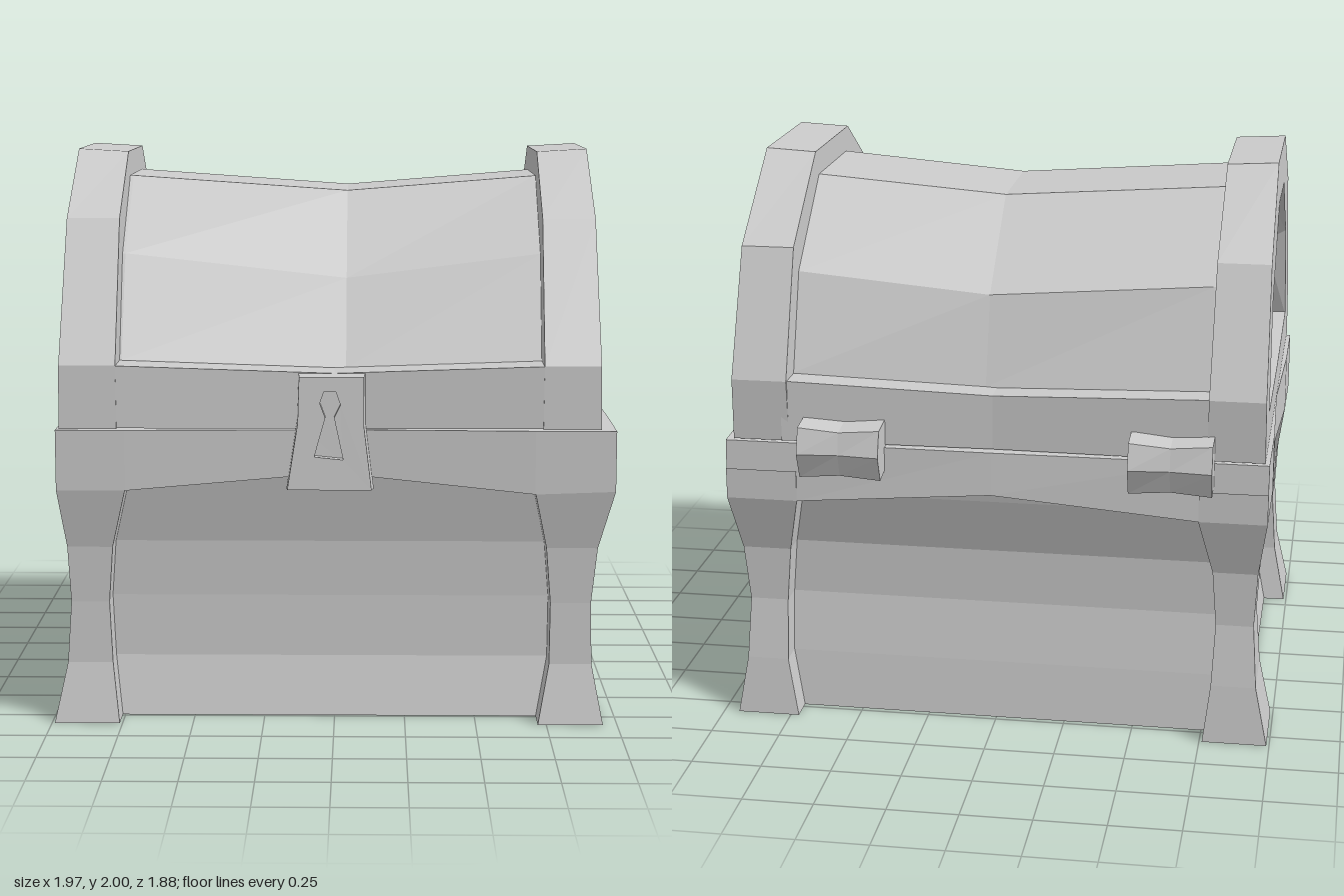
import * as THREE from 'three';

const material = new THREE.MeshStandardMaterial({ color: 0xcccccc, flatShading: true, side: THREE.DoubleSide });

// Skin a list of equally sized point rings; faces are turned outwards by signed volume.
function loft(rings, { caps = true, loop = false } = {}) {
  const tris = [];
  const n = rings[0].length;
  const spans = loop ? rings.length : rings.length - 1;
  for (let i = 0; i < spans; i++) {
    const a = rings[i], b = rings[(i + 1) % rings.length];
    for (let j = 0; j < n; j++) {
      const k = (j + 1) % n;
      tris.push([a[j], a[k], b[k]], [a[j], b[k], b[j]]);
    }
  }
  if (caps && !loop) {
    const first = rings[0], last = rings[rings.length - 1];
    for (let j = 1; j < n - 1; j++) {
      tris.push([first[0], first[j + 1], first[j]], [last[0], last[j], last[j + 1]]);
    }
  }
  const vec = (p) => new THREE.Vector3(...p);
  const volume = tris.reduce((s, [a, b, c]) => s + vec(a).dot(vec(b).cross(vec(c))), 0);
  if (volume < 0) tris.forEach((t) => t.reverse());
  const geometry = new THREE.BufferGeometry();
  geometry.setAttribute('position', new THREE.Float32BufferAttribute(tris.flat(2), 3));
  geometry.computeVertexNormals();
  return geometry;
}

// Section of [z, y] points placed at x.
const atX = (x, section) => section.map(([z, y]) => [x, y, z]);
const points = (list) => list.map(([a, b]) => new THREE.Vector2(a, b));

// Heights, then the outer / inner leg lines and panel inset of each side
const levels = [0, 0.21, 0.43, 0.63, 0.84, 0.95];
const right = { s: -1, inset: 0.08, out: [0.99, 0.945, 0.93, 0.94, 0.97, 0.97], inn: [0.76, 0.785, 0.795, 0.78, 0.73, 0.73] };
const left = { s: 1, inset: 0.08, out: [0.95, 0.91, 0.905, 0.925, 0.98, 0.98], inn: [0.72, 0.76, 0.762, 0.745, 0.7, 0.7] };
const front = { s: 1, inset: 0.11, out: [0.85, 0.805, 0.8, 0.81, 0.855, 0.855], inn: [0.56, 0.6, 0.6, 0.59, 0.52, 0.52] };
const back = { s: -1, inset: 0.095, out: [0.825, 0.8, 0.765, 0.77, 0.835, 0.835], inn: [0.53, 0.54, 0.57, 0.56, 0.48, 0.48] };
const leftBack = { ...left, out: [0.945, 0.91, 0.9, 0.92, 0.955, 0.955] };

// One leg corner of the base outline: panel edge, return, corner, return, panel edge
function corner(sx, sz, i) {
  const y = levels[i], lean = i === 5 ? 0.024 : 0;
  const X = sx.s * sx.out[i], Z = sz.s * sz.out[i];
  const xi = sx.s * sx.inn[i], zi = sz.s * sz.inn[i];
  const xt = X - sx.s * (sx.inset - lean), zt = Z - sz.s * (sz.inset - lean);
  const list = [[xi, y, zt], [xi, y, Z], [X, y, Z], [X, y, zi], [xt, y, zi]];
  return sx.s * sz.s > 0 ? list : list.reverse();
}
const baseRing = (i) => [...corner(right, front, i), ...corner(left, front, i), ...corner(leftBack, back, i), ...corner(right, back, i)];

export function createModel() {
  const chest = new THREE.Group();
  chest.name = 'chest';
  const base = new THREE.Group();
  base.name = 'base';
  const lid = new THREE.Group();
  lid.name = 'lid';
  chest.add(base, lid);
  const add = (parent, name, geometry) => {
    const mesh = new THREE.Mesh(geometry, material);
    mesh.name = name;
    parent.add(mesh);
  };

  // Base shell: hollow flared legs joined by recessed panels, with a raised floor
  add(base, 'legsAndPanels', loft(levels.map((y, i) => baseRing(i)), { caps: false }));
  const floorRing = [[right, front], [left, front], [left, back], [right, back]].map(([sx, sz]) => [
    sx.s * (sx.out[2] - sx.inset), 0.45, sz.s * (sz.out[2] - sz.inset),
  ]);
  add(base, 'floor', loft([floorRing, floorRing.map(() => [-0.2, 0.41, 0.04])], { caps: false }));

  // Base rim: stations [x, z, lower edge] around the box, arched between the legs
  const rimStations = [
    [-0.97, 0.855, 0.84], [-0.73, 0.855, 0.84], [0, 0.83, 0.9], [0.7, 0.855, 0.83],
    [0.98, 0.855, 0.84], [0.981, 0.52, 0.84], [0.965, -0.48, 0.89],
    [0.955, -0.835, 0.84], [0.7, -0.835, 0.84], [0, -0.84, 0.9], [-0.73, -0.835, 0.84],
    [-0.97, -0.835, 0.84], [-0.97, -0.48, 0.84], [-0.955, 0, 0.88], [-0.97, 0.52, 0.84],
  ];
  add(base, 'baseRim', loft(rimStations.map(([x, z, y]) => [
    [x, y, z], [x, 1.053, z < -0.8 ? z + 0.012 : z], [x * 0.84, 1.053, z * 0.82], [x * 0.84, y, z * 0.82],
  ]), { loop: true }));

  // Lid barrel, sagging in the middle
  const barrelEnd = [[0.71, 1.07], [0.71, 1.28], [0.53, 1.64], [0.2, 1.9], [-0.24, 1.9], [-0.59, 1.62], [-0.72, 1.28], [-0.72, 1.07]];
  const barrelMid = [[0.68, 1.07], [0.68, 1.25], [0.5, 1.55], [0.19, 1.845], [-0.235, 1.845], [-0.59, 1.56], [-0.69, 1.25], [-0.69, 1.07]];
  add(lid, 'barrel', loft([
    atX(-0.87, barrelEnd), atX(-0.75, barrelEnd), atX(0.04, barrelMid), atX(0.73, barrelEnd), atX(0.84, barrelEnd),
  ]));

  // End hoops around a recessed panel, with sloping recess walls
  const opening = [[0.64, 1.21], [0.49, 1.58], [0.17, 1.835], [-0.2, 1.84], [-0.52, 1.555], [-0.62, 1.18], [0, 1.18]];
  const recessFoot = [[0.625, 1.21], [0.47, 1.54], [0.165, 1.825], [-0.195, 1.83], [-0.5, 1.52], [-0.61, 1.18], [0, 1.18]];
  const hoop = new THREE.Shape(points([
    [0.867, 1.06], [0.86, 1.28], [0.6, 1.77], [0.24, 2], [-0.28, 2], [-0.65, 1.72], [-0.83, 1.28], [-0.82, 1.06],
  ]));
  hoop.holes.push(new THREE.Path(points(opening)));
  for (const [name, inner, outer, panel] of [['right', -0.76, -0.95, -0.87], ['left', 0.73, 0.92, 0.84]]) {
    const geometry = new THREE.ExtrudeGeometry(hoop, { depth: 0.19, bevelEnabled: false });
    geometry.rotateY(-Math.PI / 2).translate(Math.max(inner, outer), 0, 0);
    // Hoops widen slightly towards the bottom, and their tops dip inwards
    const p = geometry.attributes.position;
    for (let i = 0; i < p.count; i++) {
      const x = p.getX(i), y = p.getY(i), outside = Math.abs(x) > 0.8;
      p.setX(i, x + Math.sign(x) * (1.6 - y) * (outside ? 0.01 : -0.01));
      if (y > 1.95 && !outside) p.setY(i, y - 0.01);
    }
    geometry.computeVertexNormals();
    add(lid, `${name}Hoop`, geometry);
    add(lid, `${name}Recess`, loft([atX(outer, opening), atX(panel, recessFoot)], { caps: false }));
  }

  // Lid rails along front and back
  for (const [name, end, mid, inner] of [['frontRail', 0.86, 0.825, 0.62], ['backRail', -0.822, -0.79, -0.62]]) {
    const section = (z, top, bottom) => [[z * 1.004, bottom], [z, top], [inner, top], [inner, bottom]];
    add(lid, name, loft([
      atX(-0.78, section(end, 1.28, 1.062)),
      atX(0, section(mid, 1.25, 1.056)),
      atX(0.75, section(end, 1.28, 1.062)),
    ]));
  }

  // Lock: flared plate with a recessed keyhole, leaning out towards the bottom
  const outline = points([[-0.125, 1.25], [-0.13, 1.09], [-0.168, 0.84], [0.138, 0.84], [0.11, 1.08], [0.11, 1.25]]);
  const plate = new THREE.Shape(outline);
  plate.holes.push(new THREE.Path(points([
    [-0.035, 1.2], [0.008, 1.2], [0.025, 1.155], [0.002, 1.11], [0.035, 0.965], [-0.07, 0.975], [-0.03, 1.11], [-0.05, 1.16],
  ])));
  const lock = new THREE.Group();
  lock.name = 'lock';
  chest.add(lock);
  for (const [name, shape, z, depth] of [['lockPlate', plate, 0.89, 0.033], ['lockBack', new THREE.Shape(outline), 0.78, 0.11]]) {
    const geometry = new THREE.ExtrudeGeometry(shape, { depth, bevelEnabled: false }).translate(0, 0, z);
    const p = geometry.attributes.position;
    for (let i = 0; i < p.count; i++) {
      const y = p.getY(i), t = (p.getZ(i) - 0.78) / 0.14;
      p.setX(i, -0.015 + (p.getX(i) + 0.015) * (1 - 0.05 * t));
      p.setZ(i, p.getZ(i) + (1.25 - y) * 0.05);
      if (y < 0.9) p.setY(i, y + 0.02 * t);
    }
    geometry.computeVertexNormals();
    add(lock, name, geometry);
  }

  // Hinges, slightly waisted
  const hingeSection = (waist) => [
    [-0.76, 1.15], [-0.82, 1.15 - waist], [-0.91, 1.14 - waist], [-0.94 + waist, 1.05], [-0.9, 0.955 + waist], [-0.82, 0.97 + waist], [-0.76, 0.97],
  ];
  for (const [name, x] of [['rightHinge', -0.635], ['leftHinge', 0.525]]) {
    add(chest, name, loft([-0.145, 0, 0.145].map((dx) => atX(x + dx, hingeSection(dx ? 0 : 0.012)))));
  }
  return chest;
}
